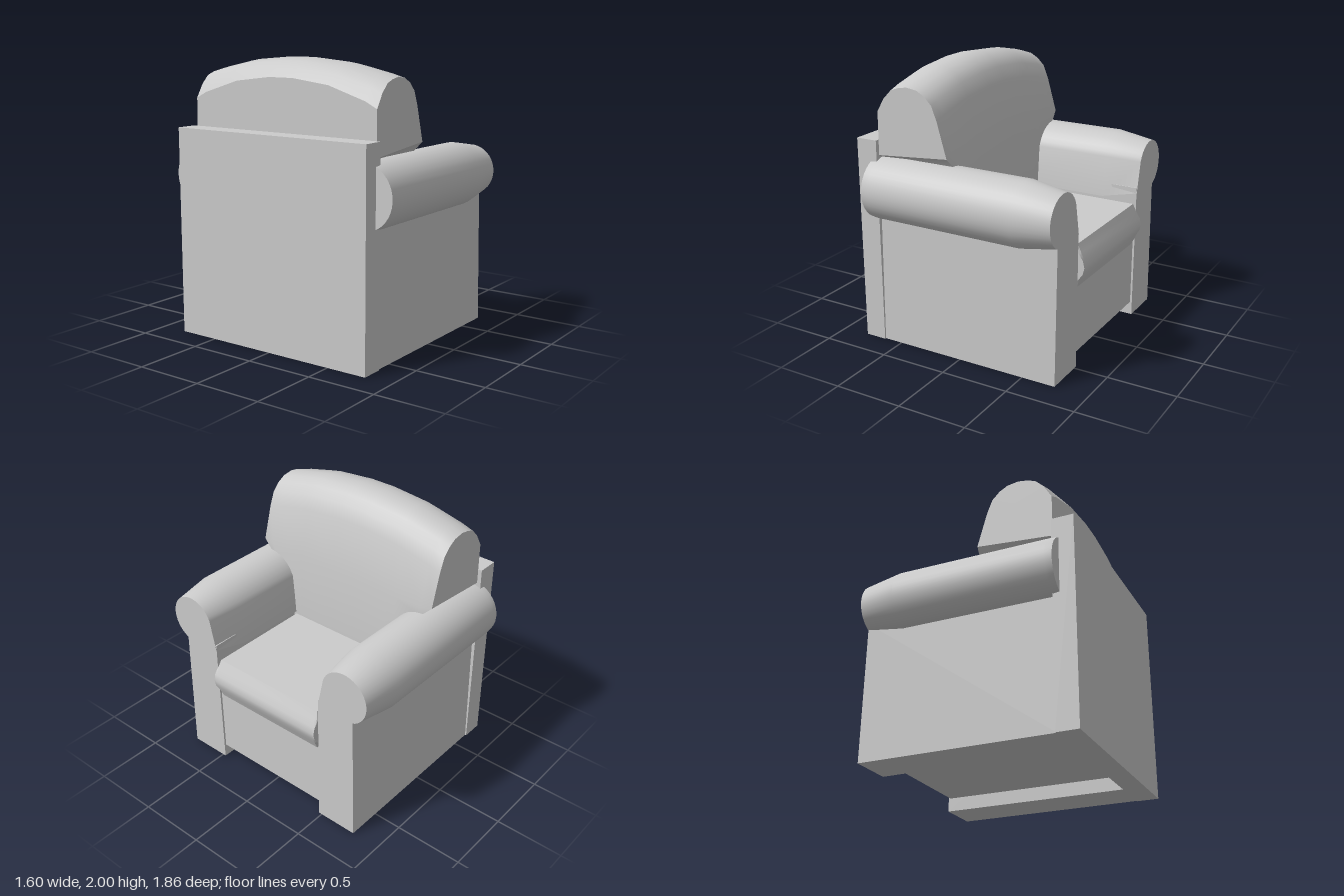
import * as THREE from 'three';
import { toCreasedNormals } from 'three/addons/utils/BufferGeometryUtils.js';

const grey = new THREE.MeshStandardMaterial({ color: 0xcccccc });

function add(group, name, geometry) {
  const mesh = new THREE.Mesh(geometry, grey);
  mesh.name = name;
  group.add(mesh);
  return mesh;
}

// Box given by its limits on each axis
function box(x0, x1, y0, y1, z0, z1) {
  return new THREE.BoxGeometry(x1 - x0, y1 - y0, z1 - z0)
    .translate((x0 + x1) / 2, (y0 + y1) / 2, (z0 + z1) / 2);
}

// Closed solid through rings of equal point count, always facing outwards
function loft(rings, crease = 0.6) {
  const tris = [];
  const n = rings[0].length;
  for (let i = 0; i < rings.length - 1; i++) {
    for (let j = 0; j < n; j++) {
      const k = (j + 1) % n;
      const [a, b, c, d] = [rings[i][j], rings[i][k], rings[i + 1][k], rings[i + 1][j]];
      tris.push([a, b, c], [a, c, d]);
    }
  }
  const cap = (ring, flip) => {
    const mid = ring.reduce((s, p) => s.add(p), new THREE.Vector3()).divideScalar(n);
    ring.forEach((p, j) => {
      const q = ring[(j + 1) % n];
      tris.push(flip ? [mid, q, p] : [mid, p, q]);
    });
  };
  cap(rings[0], true);
  cap(rings[rings.length - 1], false);
  const cross = new THREE.Vector3();
  const volume = tris.reduce((v, [a, b, c]) => v + a.dot(cross.crossVectors(b, c)), 0);
  if (volume < 0) tris.forEach(t => t.reverse());
  const geometry = new THREE.BufferGeometry().setFromPoints(tris.flat());
  return toCreasedNormals(geometry, crease);
}

// Rolled arm section: most of a circle, with a tail down the inner side
function rollRing(x, r, side, footZ, footY) {
  const ring = [];
  const steps = 24;
  for (let i = 0; i <= steps; i++) {
    const a = THREE.MathUtils.degToRad(160 - (228 * i) / steps);
    ring.push(new THREE.Vector3(x, 1.145 + r * Math.sin(a), side * (0.7 + r * Math.cos(a))));
  }
  ring.push(new THREE.Vector3(x, footY, side * 0.6));
  ring.push(new THREE.Vector3(x, footY, side * footZ));
  return ring;
}

function createArm(side) {
  const arm = new THREE.Group();
  arm.name = side > 0 ? 'leftArm' : 'rightArm';
  add(arm, 'armRoll', loft([
    rollRing(-0.69, 0.225, side, 0.455, 0.92),
    rollRing(-0.64, 0.23, side, 0.455, 0.92),
    rollRing(0.48, 0.23, side, 0.46, 0.92),
    rollRing(0.752, 0.185, side, 0.478, 0.98),
  ]));
  // Side panel, a little wider at the floor
  const panel = [[0.475, 0], [0.79, 0], [0.772, 1.02], [0.478, 1.02]];
  add(arm, 'armPanel', loft([-0.65, 0.75].map(x =>
    panel.map(([z, y]) => new THREE.Vector3(x, y, side * z)))));
  return arm;
}

// Back cushion: arched top, ends cut up over the arms
function createBackCushion() {
  // z, height of crown, height of rear top edge, bottom rear, bottom front, front x
  const stations = [
    [0.77, 1.89, 1.70, 1.39, 1.44, -0.085],
    [0.68, 1.915, 1.745, 1.34, 1.35, -0.075],
    [0.47, 1.96, 1.81, 0.86, 0.86, -0.07],
    [0.39, 1.975, 1.835, 0.8, 0.8, -0.07],
    [0.1, 2.0, 1.87, 0.8, 0.8, -0.07],
  ];
  const all = [
    ...stations,
    ...stations.slice().reverse().map(([z, ...rest]) => [-z, ...rest]),
  ];
  const rings = all.map(([z, top, rear, lowBack, lowFront, front]) => {
    const drop = top - rear;
    return [
      [-0.64, lowBack], [-0.637, rear],
      [-0.58, top - drop * 0.5], [-0.52, top - drop * 0.18], [-0.46, top - 0.012],
      [-0.39, top], [-0.31, top - 0.012], [-0.25, top - 0.045],
      [-0.195, top - 0.1], [-0.155, top - 0.2],
      [front, Math.max(1.42, lowFront + 0.005)], [front, lowFront],
    ].map(([x, y]) => new THREE.Vector3(x, y, z));
  });
  return loft(rings, 0.5);
}

// Seat cushion with a bulging front and softly bevelled ends
function createSeatCushion() {
  const sections = [[-0.475, 0.045], [-0.455, 0], [0.455, 0], [0.475, 0.045]];
  const rings = sections.map(([z, inset]) => [
    [-0.4, 0.587 + inset], [0.735, 0.587 + inset], [0.762, 0.645 + inset * 0.4],
    [0.785, 0.695], [0.797, 0.745], [0.785, 0.795],
    [0.762, 0.845 - inset * 0.4], [0.735, 0.902 - inset], [-0.4, 0.902 - inset],
  ].map(([x, y]) => new THREE.Vector3(x, y, z)));
  return loft(rings, 0.5);
}

export function createModel() {
  const chair = new THREE.Group();
  chair.name = 'armchair';
  add(chair, 'backPanel', box(-0.8, -0.64, 0, 1.5, -0.8, 0.8));
  add(chair, 'seatBase', box(-0.65, 0.735, 0.1, 0.6, -0.48, 0.48));
  add(chair, 'seatCushion', createSeatCushion());
  add(chair, 'backCushion', createBackCushion());
  for (const side of [1, -1]) chair.add(createArm(side));
  return chair;
}
